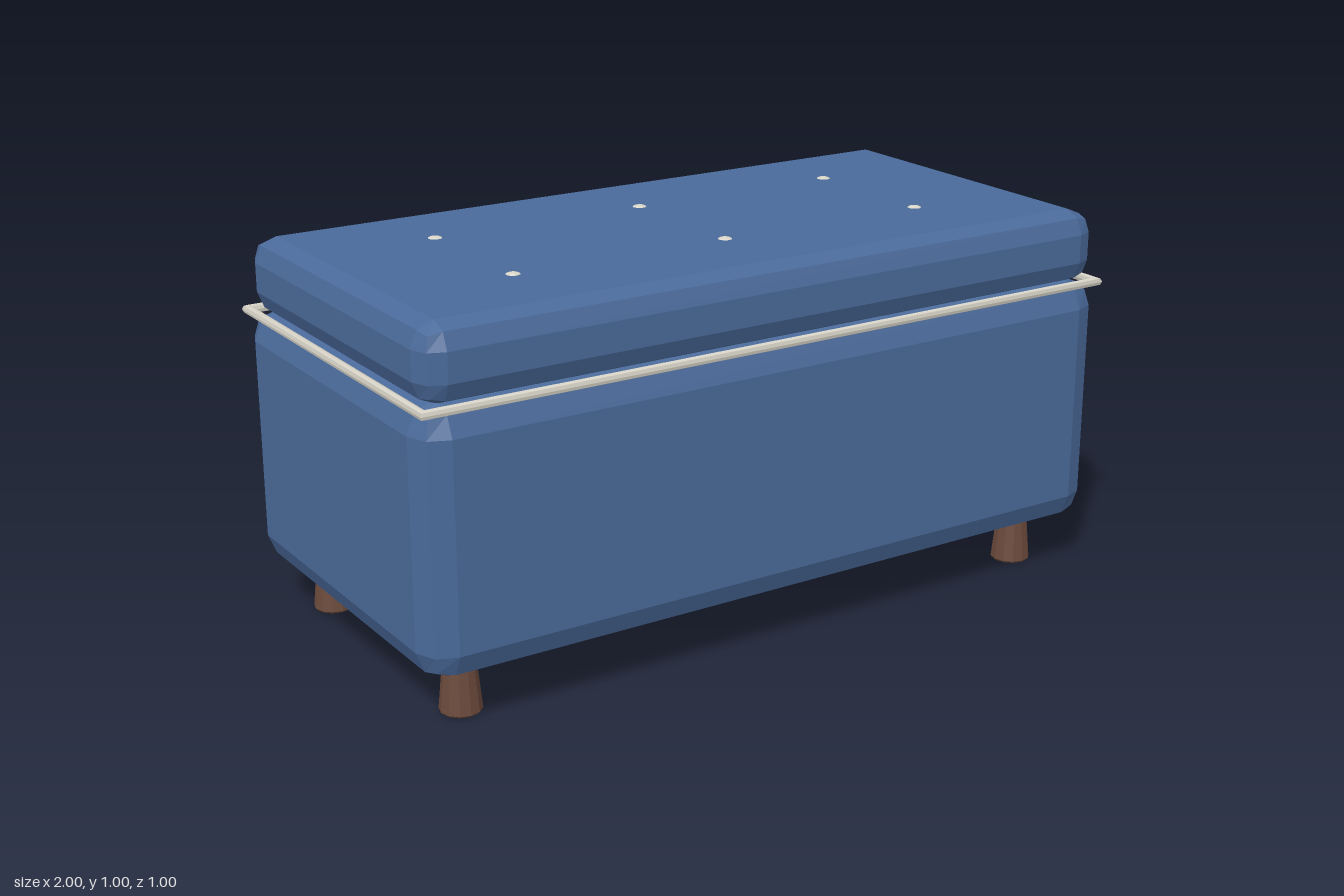
import * as THREE from 'three';
import { toCreasedNormals } from 'three/addons/utils/BufferGeometryUtils.js';

const fabric = new THREE.MeshStandardMaterial({ color: 0x4a6a9a, flatShading: true });
const cream = new THREE.MeshStandardMaterial({ color: 0xd8d4c8 });
const wood = new THREE.MeshStandardMaterial({ color: 0x6b4a3c, flatShading: true });

// Box whose edges are rounded with two facets of radius r
function softBox(w, h, d, r) {
  const geo = new THREE.BoxGeometry(2, 2, 2, 3, 3, 3);
  const pos = geo.attributes.position;
  const half = new THREE.Vector3(w / 2 - r, h / 2 - r, d / 2 - r);
  const v = new THREE.Vector3(), n = new THREE.Vector3();
  const outer = (u) => (Math.abs(u) > 0.9 ? Math.sign(u) : 0);
  for (let i = 0; i < pos.count; i++) {
    v.fromBufferAttribute(pos, i);
    n.set(outer(v.x), outer(v.y), outer(v.z)).normalize();
    v.set(Math.sign(v.x), Math.sign(v.y), Math.sign(v.z)).multiply(half).addScaledVector(n, r);
    pos.setXYZ(i, v.x, v.y, v.z);
  }
  geo.computeVertexNormals();
  return geo;
}

// Mitred rectangular ring of round cord, made from a four-sided torus
function cordRing(w, d, r) {
  const geo = new THREE.TorusGeometry(1, r, 8, 4);
  geo.rotateZ(Math.PI / 4).rotateX(Math.PI / 2);
  const pos = geo.attributes.position;
  for (let i = 0; i < pos.count; i++) {
    const x = pos.getX(i), z = pos.getZ(i);
    const out = Math.hypot(x, z) - 1 - r;
    pos.setX(i, Math.sign(x) * (w / 2 + out));
    pos.setZ(i, Math.sign(z) * (d / 2 + out));
  }
  return toCreasedNormals(geo, Math.PI / 3);
}

export function createModel() {
  const model = new THREE.Group();
  const add = (name, geo, mat, x, y, z) => {
    const mesh = new THREE.Mesh(geo, mat);
    mesh.name = name;
    mesh.position.set(x, y, z);
    model.add(mesh);
    return mesh;
  };

  // Upholstered body, lid cushion and the piping between them
  add('body', softBox(2, 0.675, 1, 0.075), fabric, 0, 0.4725, 0);
  add('lidCushion', softBox(1.97, 0.195, 0.98, 0.06), fabric, 0, 0.8975, 0);
  add('piping', cordRing(2, 1, 0.012), cream, 0, 0.801, 0);

  // Tufting buttons
  const button = new THREE.SphereGeometry(0.022, 16, 10).scale(1, 0.5, 1);
  for (const x of [-0.6, 0, 0.6])
    for (const z of [-0.2, 0.2]) add('button', button, cream, x, 0.989, z);

  // Tapered legs with softened rims
  const profile = [[0, 0], [0.049, 0], [0.053, 0.005], [0.041, 0.126], [0.036, 0.136], [0, 0.136]];
  const leg = new THREE.LatheGeometry(profile.map(([x, y]) => new THREE.Vector2(x, y)), 12);
  for (const sx of [-1, 1])
    for (const sz of [-1, 1]) add('leg', leg, wood, sx * 0.855, 0, sz * 0.356);

  return model;
}
